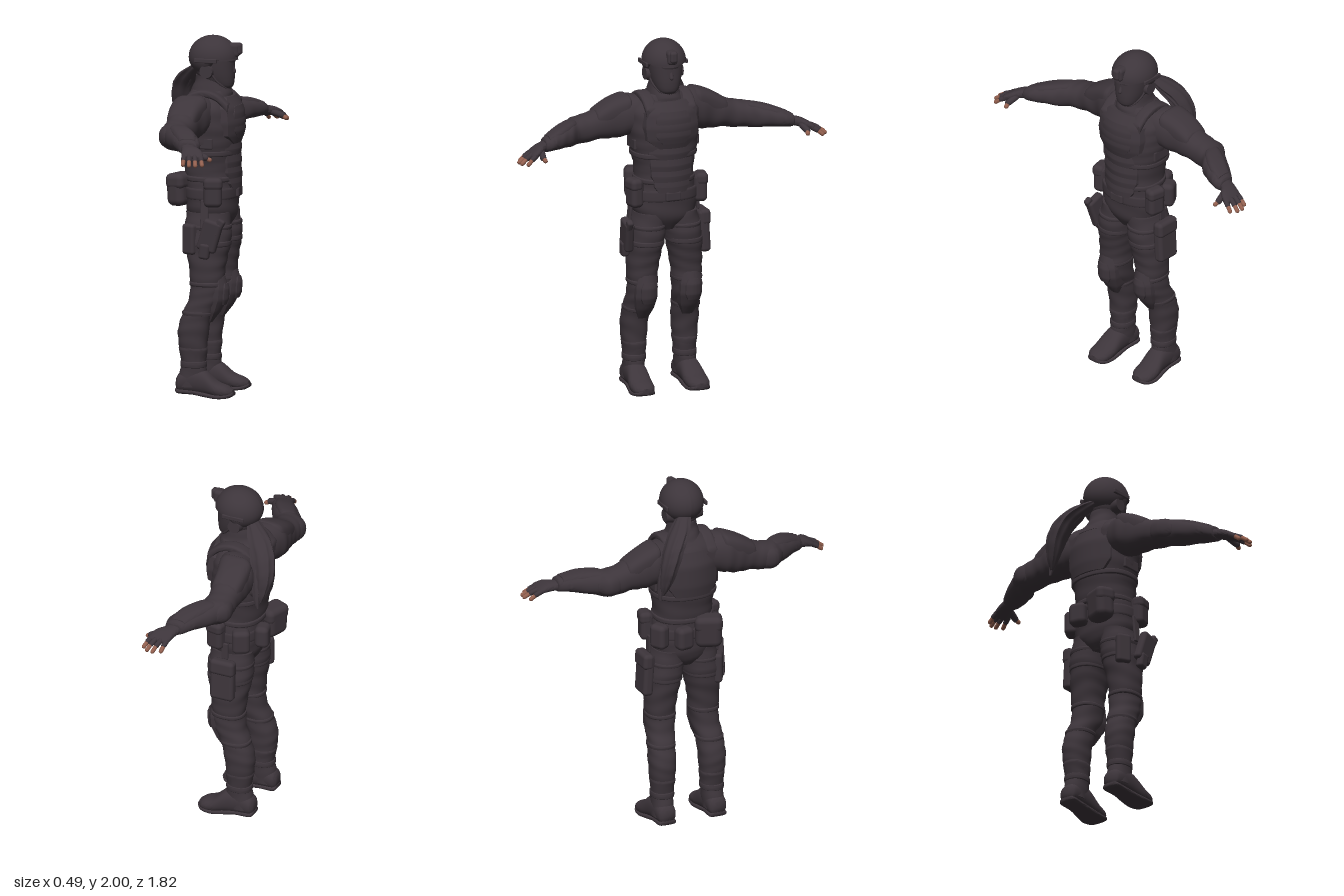
import * as THREE from 'three';
import { toCreasedNormals } from 'three/addons/utils/BufferGeometryUtils.js';
import { RoundedBoxGeometry } from 'three/addons/geometries/RoundedBoxGeometry.js';

const gear = new THREE.MeshStandardMaterial({ color: 0x3d353b });
gear.name = 'dark gear';
const skin = new THREE.MeshStandardMaterial({ color: 0x93604f });
skin.name = 'skin';

// smooth interpolation through rows of numbers, t in 0..1
function sample(rows, t) {
  const n = rows.length - 1, f = Math.min(t * n, n - 1e-6), i = Math.floor(f), u = f - i;
  const at = k => rows[Math.max(0, Math.min(n, k))];
  return rows[0].map((_, c) => {
    const a = at(i - 1)[c], b = at(i)[c], d = at(i + 1)[c], e = at(i + 2)[c];
    return b + 0.5 * u * (d - a + u * (2 * a - 5 * b + 4 * d - e + u * (3 * (b - d) + e - a)));
  });
}

// closed skin over rings [along, c1, c2, r1, r2]; axes: y -> (x,z), z -> (x,y), x -> (y,z)
function loft(rings, axis = 'y', { p = 2.3, fold = 0, ridge = 0, side = 1 } = {}) {
  const N = 32, M = (rings.length - 1) * 6, pos = [], idx = [];
  const put = (s, u, v) => {
    const q = axis === 'y' ? [u, s, v] : axis === 'z' ? [u, v, s] : [s, u, v];
    pos.push(q[0], q[1], q[2] * side);
  };
  for (let j = 0; j <= M; j++) {
    const [s, c1, c2, r1, r2] = sample(rings, j / M);
    for (let i = 0; i < N; i++) {
      const a = i / N * Math.PI * 2, c = Math.cos(a), d = Math.sin(a);
      const k = 1 + fold * Math.sin(s * 75 + 2.5 * Math.sin(a + s * 9)) + ridge * Math.cos(8 * a);
      put(s, c1 + k * r1 * Math.sign(c) * Math.abs(c) ** (2 / p), c2 + k * r2 * Math.sign(d) * Math.abs(d) ** (2 / p));
    }
  }
  for (const j of [0, M]) { const r = sample(rings, j / M); put(r[0], r[1], r[2]); }
  const flip = (axis !== 'y') === (side > 0);
  const tri = (a, b, c) => flip ? idx.push(a, b, c) : idx.push(a, c, b);
  const low = (M + 1) * N;
  for (let i = 0; i < N; i++) {
    const n = (i + 1) % N;
    for (let j = 0; j < M; j++) {
      const a = j * N + i, b = j * N + n;
      tri(a, b, b + N); tri(a, b + N, a + N);
    }
    tri(low, n, i); tri(low + 1, M * N + i, M * N + n);
  }
  const g = new THREE.BufferGeometry();
  g.setAttribute('position', new THREE.Float32BufferAttribute(pos, 3));
  g.setIndex(idx);
  return toCreasedNormals(g, 0.9);
}

// curved armour plate from rows [y, halfWidth, x], facing +x (dir 1) or -x (dir -1)
function plate(rows, thick, bend, z0 = 0, dir = 1) {
  const g = new THREE.BoxGeometry(1, 1, 1, 1, 20, 12), v = g.attributes.position;
  for (let i = 0; i < v.count; i++) {
    const f = Math.min((v.getY(i) + 0.5) * (rows.length - 1), rows.length - 1.00001), k = Math.floor(f);
    const [y, w, x] = rows[k].map((a, c) => a + (rows[k + 1][c] - a) * (f - k));
    const outer = v.getX(i) * dir > 0, z = v.getZ(i) * 2 * w * (outer ? 0.93 : 1);
    v.setXYZ(i, x - dir * (bend * z * z + (outer ? 0 : thick)), y, z + z0);
  }
  return toCreasedNormals(g, 0.5);
}

export function createModel() {
  const root = new THREE.Group();
  root.name = 'armouredFigure';
  const add = (name, geo, mat = gear) => {
    const m = new THREE.Mesh(geo, mat);
    m.name = name;
    root.add(m);
    return m;
  };
  const box = (name, x, y, z, sx, sy, sz, rx = 0, ry = 0, rz = 0) => {
    const m = add(name, new RoundedBoxGeometry(sx, sy, sz, 3, Math.min(sx, sy, sz) * 0.36));
    m.position.set(x, y, z);
    m.rotation.set(rx, ry, rz);
  };
  const rod = (name, a, b, r, mat) => {
    const A = new THREE.Vector3(...a), B = new THREE.Vector3(...b), d = B.clone().sub(A);
    const m = add(name, new THREE.CapsuleGeometry(r, d.length(), 4, 10), mat);
    m.position.copy(A).add(B).multiplyScalar(0.5);
    m.quaternion.setFromUnitVectors(new THREE.Vector3(0, 1, 0), d.normalize());
  };
  const tube = (name, pts, r) => add(name, new THREE.TubeGeometry(
    new THREE.CatmullRomCurve3(pts.map(q => new THREE.Vector3(...q))), 24, r, 8));
  const band = (name, y, h, x, z, rx, rz, side = 1) => add(name, loft(
    [[y - h / 2, x, z, rx - 0.006, rz - 0.006], [y - h / 2 + 0.004, x, z, rx, rz],
      [y + h / 2 - 0.004, x, z, rx, rz], [y + h / 2, x, z, rx - 0.006, rz - 0.006]], 'y', { side }));

  // torso and vest
  add('torso', loft([[0.93, 0.03, 0, 0.09, 0.05], [1, 0.03, 0, 0.13, 0.16], [1.1, 0.03, 0, 0.14, 0.185],
    [1.18, 0.03, 0, 0.14, 0.172], [1.28, 0.025, 0, 0.147, 0.165], [1.4, 0.02, 0, 0.157, 0.188], [1.5, 0.015, 0, 0.163, 0.2],
    [1.6, 0.01, 0, 0.145, 0.2], [1.66, 0.01, 0, 0.12, 0.155], [1.7, 0.02, 0, 0.1, 0.1]], 'y', { fold: 0.012 }));
  add('chestPlate', plate([[1.41, 0.085, 0.188], [1.46, 0.155, 0.205], [1.53, 0.165, 0.212], [1.61, 0.155, 0.195], [1.67, 0.1, 0.155]], 0.06, 2.2));
  add('chestPanel', plate([[1.44, 0.07, 0.2], [1.48, 0.11, 0.211], [1.58, 0.11, 0.206], [1.62, 0.08, 0.192]], 0.03, 2.2));
  add('backPlate', plate([[1.37, 0.11, -0.148], [1.43, 0.155, -0.158], [1.55, 0.16, -0.158], [1.64, 0.11, -0.125]], 0.05, 2.2, 0, -1));
  [[1.335, 1.42, 0.14, 0.13], [1.27, 1.345, 0.13, 0.125], [1.215, 1.28, 0.125, 0.11], [1.155, 1.225, 0.11, 0.085]].forEach(([a, b, w, v], i) =>
    add('abdomenPlate', plate([[a, v, 0.184 + i * 0.002], [(a + b) / 2, w, 0.192], [b, w, 0.187]], 0.05, 3)));
  band('waistBand', 1.215, 0.03, 0.027, 0, 0.149, 0.171);
  band('lowerVest', 1.36, 0.03, 0.02, 0, 0.158, 0.186);
  band('belt', 1.135, 0.06, 0.03, 0, 0.148, 0.19);
  box('beltBuckle', 0.176, 1.135, 0, 0.03, 0.055, 0.09);

  // head, collar and helmet
  add('collar', loft([[1.63, 0.0, 0, 0.13, 0.14], [1.68, 0.02, 0, 0.118, 0.1], [1.73, 0.025, 0, 0.098, 0.08], [1.78, 0.025, 0, 0.085, 0.074]], 'y', { fold: 0.02 }));
  add('maskedHead', loft([[1.705, 0.105, 0, 0.025, 0.03], [1.725, 0.085, 0, 0.062, 0.058], [1.77, 0.053, 0, 0.1, 0.08], [1.83, 0.043, 0, 0.109, 0.093], [1.9, 0.04, 0, 0.11, 0.1]]));
  rod('nose', [0.14, 1.835, 0], [0.152, 1.803, 0], 0.012);
  add('brow', plate([[1.855, 0.075, 0.157], [1.885, 0.085, 0.168]], 0.03, 8));
  const shell = new THREE.SphereGeometry(1, 40, 28), sv = shell.attributes.position;
  for (let i = 0; i < sv.count; i++) {
    const x = sv.getX(i), y = sv.getY(i), back = THREE.MathUtils.smoothstep(-x, -0.45, 0.2);
    sv.setXYZ(i, 0.033 + x * 0.137, 1.878 + (y < 0 ? y * 0.11 * back : y * 0.122), sv.getZ(i) * 0.121);
  }
  shell.computeVertexNormals();
  add('helmet', shell);
  add('helmetRim', plate([[1.868, 0.095, 0.174], [1.892, 0.095, 0.172]], 0.025, 9));
  box('helmetMountBase', 0.15, 1.922, 0, 0.07, 0.08, 0.06);
  box('helmetMount', 0.178, 1.93, 0, 0.043, 0.065, 0.042);

  // hair tied back over one shoulder, in two overlapping strands
  add('ponytail', loft([[1.43, -0.185, -0.21, 0.008, 0.008], [1.5, -0.192, -0.195, 0.035, 0.03], [1.6, -0.193, -0.172, 0.055, 0.045],
    [1.7, -0.165, -0.13, 0.065, 0.048], [1.77, -0.115, -0.075, 0.062, 0.045], [1.83, -0.055, -0.02, 0.03, 0.035]], 'y', { ridge: 0.08, fold: 0.02 }));
  add('ponytailStrand', loft([[1.4, -0.18, -0.225, 0.005, 0.005], [1.47, -0.17, -0.215, 0.02, 0.018], [1.56, -0.165, -0.19, 0.035, 0.03],
    [1.66, -0.15, -0.15, 0.045, 0.035], [1.74, -0.11, -0.09, 0.04, 0.03]], 'y', { ridge: 0.08 }));

  for (const s of [1, -1]) {
    const side = s, Z = z => z * s;
    // helmet sides and shoulder straps
    const ear = add('earCup', new THREE.CylinderGeometry(0.036, 0.045, 0.04, 20));
    ear.rotation.x = s * Math.PI / 2;
    ear.position.set(0.02, 1.81, Z(0.09));
    box('helmetRail', 0.02, 1.872, Z(0.117), 0.13, 0.025, 0.014);
    tube('chinStrap', [[0.03, 1.83, Z(0.095)], [0.07, 1.76, Z(0.08)], [0.115, 1.715, Z(0.043)], [0.13, 1.708, 0]], 0.006);
    add('shoulderStrap', loft([[-0.125, 1.6, 0.12, 0.03, 0.032], [-0.07, 1.665, 0.115, 0.022, 0.035], [0.01, 1.69, 0.115, 0.02, 0.037],
      [0.09, 1.67, 0.115, 0.022, 0.036], [0.155, 1.61, 0.115, 0.03, 0.033]], 'x', { side, p: 3.5 }));
    box('sideBuckle', 0.02, 1.42, Z(0.182), 0.12, 0.06, 0.02);

    // arm
    add('sleeve', loft([[0.1, -0.01, 1.58, 0.1, 0.1], [0.2, -0.038, 1.57, 0.11, 0.115], [0.28, -0.05, 1.55, 0.095, 0.108],
      [0.36, -0.05, 1.53, 0.086, 0.086], [0.44, -0.052, 1.51, 0.082, 0.078], [0.5, -0.045, 1.503, 0.088, 0.074], [0.56, 0.002, 1.5, 0.09, 0.066],
      [0.62, 0.038, 1.497, 0.086, 0.056], [0.68, 0.074, 1.49, 0.075, 0.047], [0.728, 0.092, 1.482, 0.055, 0.038], [0.736, 0.094, 1.48, 0.042, 0.03]], 'z', { side, fold: 0.018 }));
    add('shoulderPad', loft([[0.19, -0.035, 1.63, 0.08, 0.05], [0.21, -0.04, 1.62, 0.096, 0.07], [0.29, -0.05, 1.59, 0.09, 0.073],
      [0.37, -0.05, 1.558, 0.08, 0.06], [0.385, -0.05, 1.553, 0.07, 0.05]], 'z', { side, p: 3 }));
    add('elbowPad', loft([[0.42, -0.085, 1.51, 0.035, 0.04], [0.45, -0.088, 1.505, 0.048, 0.06], [0.51, -0.078, 1.503, 0.058, 0.06], [0.56, -0.04, 1.5, 0.05, 0.04]], 'z', { side }));
    add('forearmGuard', loft([[0.5, -0.03, 1.53, 0.04, 0.035], [0.53, -0.015, 1.525, 0.06, 0.05], [0.62, 0.04, 1.515, 0.066, 0.047], [0.71, 0.085, 1.498, 0.05, 0.032]], 'z', { side, p: 3.2 }));

    // gloved hand with bare fingertips
    add('glove', loft([[0.7, 0.078, 1.48, 0.038, 0.03], [0.74, 0.1, 1.475, 0.044, 0.026], [0.78, 0.127, 1.467, 0.058, 0.026], [0.82, 0.143, 1.452, 0.062, 0.02], [0.838, 0.147, 1.446, 0.05, 0.012]], 'z', { side, p: 2.6 }));
    [[0.096, 0.82, 0.105, 0.878], [0.128, 0.832, 0.146, 0.9], [0.16, 0.832, 0.181, 0.896], [0.188, 0.815, 0.212, 0.87]].forEach(([x, z, X, W]) => {
      const mx = (x + X) / 2, mz = (z + W) / 2;
      rod('gloveFinger', [x, 1.45, Z(z)], [mx, 1.434, Z(mz)], 0.0145);
      rod('fingertip', [mx, 1.434, Z(mz)], [X, 1.412, Z(W)], 0.0118, skin);
    });
    rod('gloveThumb', [0.155, 1.46, Z(0.77)], [0.208, 1.44, Z(0.782)], 0.018);
    rod('thumbTip', [0.21, 1.439, Z(0.782)], [0.23, 1.428, Z(0.777)], 0.0125, skin);

    // leg
    add('trouserLeg', loft([[0.2, -0.035, 0.148, 0.068, 0.06], [0.3, -0.04, 0.15, 0.08, 0.069], [0.38, -0.037, 0.15, 0.086, 0.074],
      [0.47, -0.012, 0.145, 0.085, 0.074], [0.55, 0.025, 0.135, 0.09, 0.078], [0.62, 0.037, 0.13, 0.095, 0.08], [0.7, 0.035, 0.13, 0.098, 0.085],
      [0.8, 0.035, 0.12, 0.115, 0.092], [0.9, 0.035, 0.108, 0.13, 0.1], [1.03, 0.03, 0.095, 0.12, 0.085]], 'y', { side, fold: 0.022 }));
    add('kneePad', plate([[0.42, 0.03, 0.065], [0.48, 0.055, 0.112], [0.55, 0.068, 0.15], [0.61, 0.068, 0.155], [0.68, 0.05, 0.135]], 0.06, 9, Z(0.132)));
    add('kneeCap', plate([[0.52, 0.03, 0.145], [0.55, 0.045, 0.158], [0.61, 0.045, 0.162], [0.64, 0.03, 0.153]], 0.03, 9, Z(0.132)));
    band('kneeStrap', 0.635, 0.025, 0.037, 0.131, 0.099, 0.084, s);
    band('shinStrap', 0.47, 0.025, -0.012, 0.145, 0.088, 0.077, s);
    band('thighStrap', 0.86, 0.03, 0.036, 0.113, 0.127, 0.1, s);
    band('upperThighStrap', 0.95, 0.025, 0.034, 0.104, 0.131, 0.099, s);

    // boot
    add('bootShaft', loft([[0.06, -0.055, 0.155, 0.072, 0.058], [0.13, -0.04, 0.152, 0.075, 0.058], [0.2, -0.037, 0.15, 0.068, 0.06], [0.27, -0.04, 0.15, 0.08, 0.068], [0.285, -0.04, 0.15, 0.07, 0.06]], 'y', { side, fold: 0.015 }));
    add('bootFoot', loft([[-0.13, 0.075, 0.152, 0.035, 0.035], [-0.11, 0.08, 0.153, 0.055, 0.053], [-0.04, 0.092, 0.155, 0.073, 0.058], [0.03, 0.083, 0.157, 0.07, 0.061],
      [0.1, 0.05, 0.162, 0.045, 0.067], [0.16, 0.037, 0.163, 0.034, 0.06], [0.192, 0.034, 0.163, 0.016, 0.03]], 'x', { side }));
    add('bootSole', loft([[-0.133, 0.04, 0.152, 0.01, 0.035], [-0.115, 0.034, 0.153, 0.014, 0.053], [-0.03, 0.03, 0.155, 0.014, 0.052], [0.04, 0.02, 0.158, 0.014, 0.06],
      [0.11, 0.013, 0.163, 0.013, 0.068], [0.17, 0.018, 0.163, 0.013, 0.058], [0.197, 0.028, 0.163, 0.01, 0.03]], 'x', { side, p: 3.5 }));
    band('ankleStrap', 0.185, 0.035, -0.037, 0.15, 0.073, 0.064, s);

    // hip pouch with flap
    box('hipPouch', 0.085, 1.15, Z(0.193), 0.1, 0.16, 0.075, 0, s * 0.2);
    box('hipPouchFlap', 0.087, 1.2, Z(0.199), 0.106, 0.07, 0.072, 0, s * 0.2);
  }

  // belt pouches at the back
  box('backPouch', -0.13, 1.14, 0.09, 0.11, 0.165, 0.15, 0, -0.35, 0.06);
  box('backPouchFlap', -0.13, 1.195, 0.09, 0.116, 0.09, 0.156, 0, -0.35, 0.06);
  box('smallBackPouch', -0.135, 1.13, -0.06, 0.08, 0.13, 0.1, 0, 0.2);
  box('rearHipPouch', -0.055, 1.13, -0.172, 0.1, 0.14, 0.075, 0, 0.5);

  // holster on one thigh, pouches on both
  box('holster', 0.08, 0.915, 0.236, 0.11, 0.18, 0.05, 0.08, 0, -0.3);
  box('holsterLower', 0.05, 0.83, 0.24, 0.06, 0.09, 0.045, 0.08, 0, -0.15);
  box('sidearmGrip', 0.13, 0.965, 0.245, 0.045, 0.1, 0.035, 0, 0, -0.5);
  box('holsterHanger', 0.04, 1.03, 0.205, 0.045, 0.16, 0.015, -0.1);
  box('rearThighPouch', -0.05, 0.885, 0.185, 0.085, 0.17, 0.05, 0, -0.5);
  box('thighPouch', 0.03, 0.89, -0.223, 0.14, 0.24, 0.06, 0.06);
  box('thighPouchFlap', 0.03, 0.97, -0.226, 0.146, 0.09, 0.062, 0.06);
  box('thighPouchHanger', 0.03, 1.06, -0.2, 0.04, 0.1, 0.015);
  return root;
}
